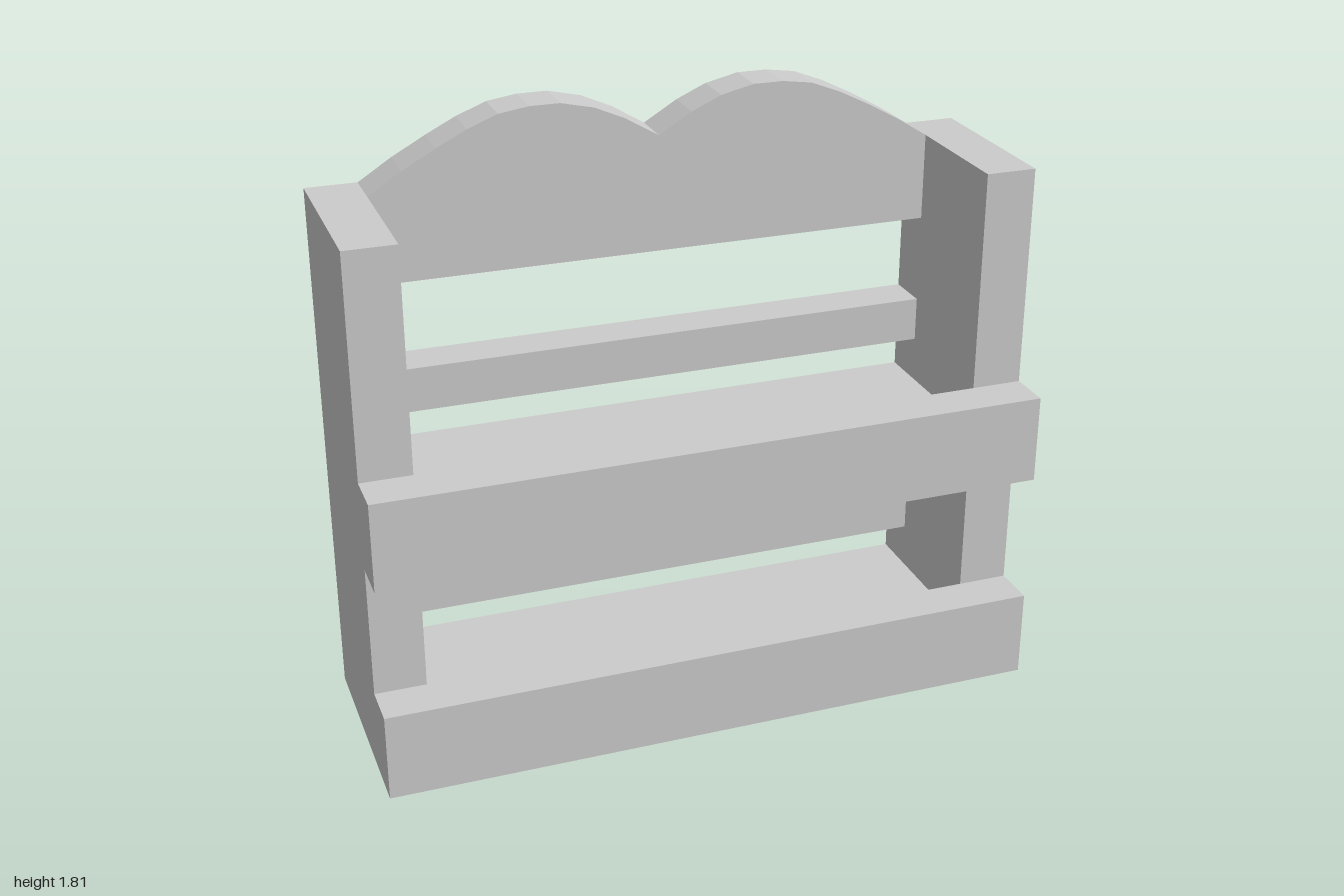
import * as THREE from 'three';

export function createModel() {
  const group = new THREE.Group();
  group.name = 'wallShelf';
  const material = new THREE.MeshStandardMaterial({ color: 0xcccccc, flatShading: true });

  const BACK = -0.333, MID = 0.2, FRONT = 0.333; // depth planes
  const THICK = 0.133;                           // board thickness
  const INNER = 0.848;                           // inner faces of the sides

  const add = (name, geometry) => {
    const mesh = new THREE.Mesh(geometry, material);
    mesh.name = name;
    group.add(mesh);
    return mesh;
  };

  // Box given by its limits on each axis
  const board = (name, x0, x1, y0, y1, z0, z1) =>
    add(name, new THREE.BoxGeometry(x1 - x0, y1 - y0, z1 - z0))
      .position.set((x0 + x1) / 2, (y0 + y1) / 2, (z0 + z1) / 2);

  // Upright sides
  board('leftSide', INNER, 1, 0, 1.603, BACK, MID);
  board('rightSide', -1, -INNER, 0, 1.603, BACK, MID);

  // Two tiers: shelf, front rail across the sides, back slat
  [['lower', 0], ['upper', 0.67]].forEach(([tier, y]) => {
    board(tier + 'Shelf', -INNER, INNER, y, y + THICK, BACK, MID);
    board(tier + 'FrontRail', -1, 1, y, y + 0.268, MID, FRONT);
    board(tier + 'BackSlat', -INNER, INNER, y + 0.268, y + 0.403, BACK, BACK + THICK);
  });

  // Crest with two mirrored humps, from the centre dip outwards
  const half = [
    [0.1, 1.75], [0.19, 1.79], [0.29, 1.813], [0.38, 1.813], [0.47, 1.8],
    [0.56, 1.765], [0.65, 1.72], [0.75, 1.665], [INNER, 1.603],
  ];
  const outline = [
    [-INNER, 1.34], [INNER, 1.34],
    ...half.slice().reverse(), [0, 1.69], ...half.map(([x, y]) => [-x, y]),
  ].map(([x, y]) => new THREE.Vector2(x, y));
  add('crest', new THREE.ExtrudeGeometry(new THREE.Shape(outline), {
    depth: THICK, bevelEnabled: false,
  })).position.z = BACK;

  return group;
}
